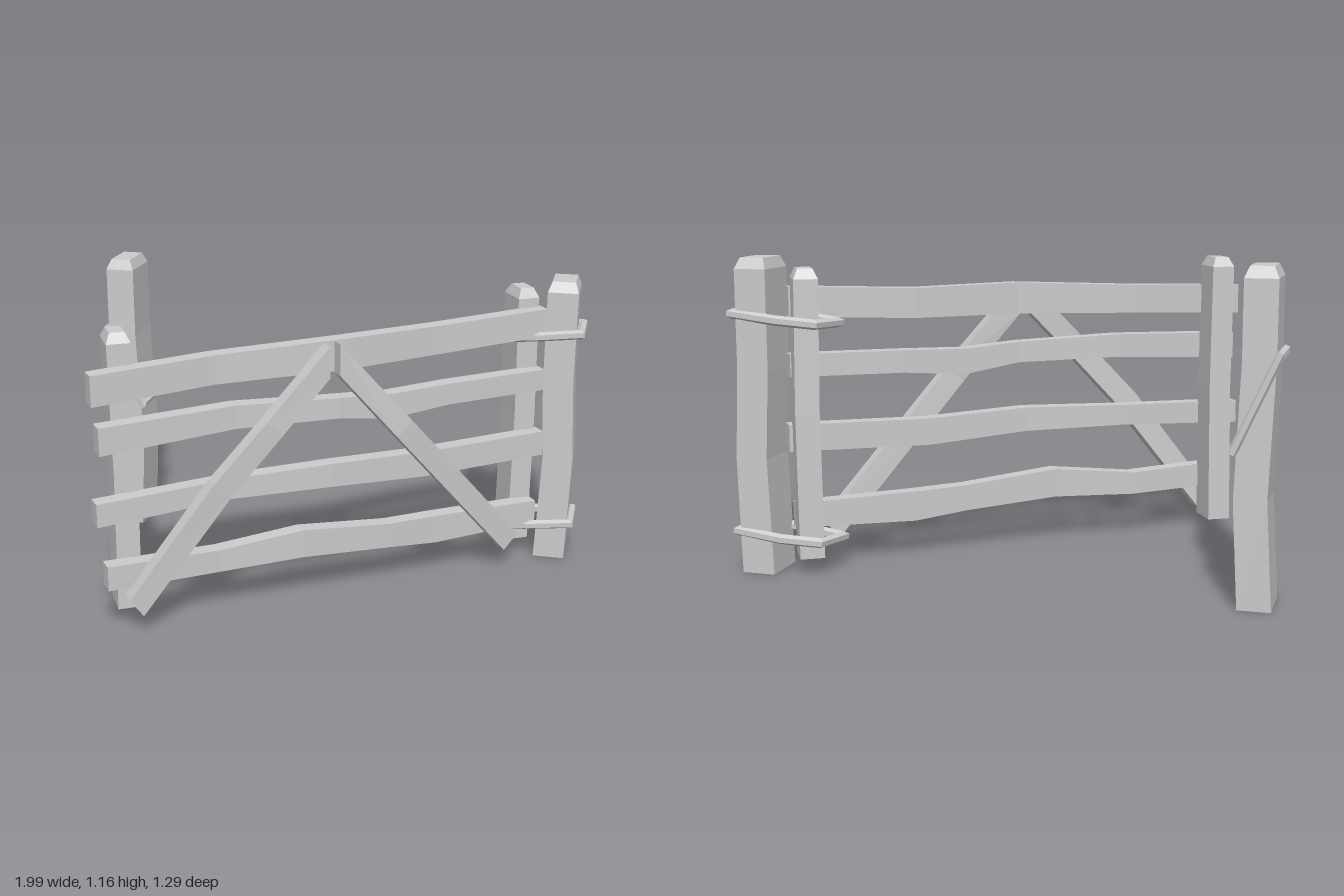
import * as THREE from 'three';

const material = new THREE.MeshStandardMaterial({ color: 0xcccccc, flatShading: true });

// Skin a list of equal-sized rings (counter-clockwise about the travel direction)
function loft(name, rings, closed = false) {
  const pos = [];
  const tri = (...pts) => pts.forEach((p) => pos.push(p.x, p.y, p.z));
  const n = rings[0].length;
  const count = closed ? rings.length : rings.length - 1;
  for (let i = 0; i < count; i++) {
    const r0 = rings[i], r1 = rings[(i + 1) % rings.length];
    for (let j = 0; j < n; j++) {
      const k = (j + 1) % n;
      tri(r0[j], r0[k], r1[k]);
      tri(r0[j], r1[k], r1[j]);
    }
  }
  if (!closed) {
    const a = rings[0], b = rings[rings.length - 1];
    for (let j = 1; j < n - 1; j++) {
      tri(a[0], a[j + 1], a[j]);
      tri(b[0], b[j], b[j + 1]);
    }
  }
  const geometry = new THREE.BufferGeometry();
  geometry.setAttribute('position', new THREE.Float32BufferAttribute(pos, 3));
  geometry.computeVertexNormals();
  const mesh = new THREE.Mesh(geometry, material);
  mesh.name = name;
  return mesh;
}

// Upright post: sections are [y, centreX, centreZ, width, depth]
function post(name, sections) {
  return loft(name, sections.map(([y, x, z, w, d]) =>
    [[1, 1], [1, -1], [-1, -1], [-1, 1]].map(([a, b]) =>
      new THREE.Vector3(x + a * w / 2, y, z + b * d / 2))));
}

// Plank along x: sections are [topX, topY, bottomX, bottomY, centreZ]
function plank(name, sections, thickness) {
  const t = thickness / 2;
  return loft(name, sections.map(([tx, ty, bx, by, z]) => [
    new THREE.Vector3(tx, ty, z - t), new THREE.Vector3(tx, ty, z + t),
    new THREE.Vector3(bx, by, z + t), new THREE.Vector3(bx, by, z - t),
  ]));
}

// Closed flat rope loop with mitred corners
function rope(name, corners, radius, sides = 6) {
  const pts = corners.map((c) => new THREE.Vector3(...c));
  const n = pts.length;
  const normal = new THREE.Vector3();
  pts.forEach((p, i) => normal.add(p.clone().cross(pts[(i + 1) % n])));
  normal.normalize();
  return loft(name, pts.map((p, i) => {
    const before = p.clone().sub(pts[(i + n - 1) % n]).normalize();
    const after = pts[(i + 1) % n].clone().sub(p).normalize();
    const tangent = before.clone().add(after).normalize();
    const out = tangent.clone().cross(normal).divideScalar(Math.max(0.5, tangent.dot(after)));
    return Array.from({ length: sides }, (_, j) => {
      const a = (j / sides) * Math.PI * 2;
      return p.clone().addScaledVector(normal, radius * Math.cos(a))
        .addScaledVector(out, radius * Math.sin(a));
    });
  }), true);
}

export function createModel() {
  const model = new THREE.Group();
  model.name = 'openFarmGate';

  // Fixed posts, slightly crooked, with bevelled tops
  model.add(post('latchPost', [
    [0, -0.913, -0.515, 0.117, 0.19],
    [0.38, -0.892, -0.515, 0.115, 0.19],
    [0.85, -0.912, -0.515, 0.115, 0.19],
    [1.125, -0.912, -0.515, 0.115, 0.185],
    [1.165, -0.912, -0.515, 0.08, 0.15],
  ]));
  model.add(post('hingePost', [
    [0, 0.902, -0.545, 0.125, 0.18],
    [0.43, 0.917, -0.545, 0.12, 0.18],
    [0.75, 0.902, -0.545, 0.12, 0.18],
    [1.12, 0.902, -0.545, 0.12, 0.18],
    [1.16, 0.902, -0.545, 0.09, 0.14],
  ]));

  // Rope loops
  for (const [name, y] of [['upperHingeRope', 0.92], ['lowerHingeRope', 0.118]]) {
    const outline = [[0.637, -0.47], [0.67, -0.6], [0.81, -0.638],
      [0.978, -0.628], [0.978, -0.455], [0.81, -0.45]];
    model.add(rope(name, outline.map(([x, z]) => [x, y + 0.11 * (x - 0.63), z]), 0.019));
  }
  model.add(rope('latchRope', [
    [-0.977, 0.87, -0.425], [-0.833, 0.55, -0.425],
    [-0.833, 0.55, -0.607], [-0.977, 0.87, -0.607],
  ], 0.017));

  // Swinging gate, built along its own x axis and turned open
  const gate = new THREE.Group();
  gate.name = 'gate';
  gate.position.set(0.08, 0, 0.06);
  gate.rotation.y = 0.64;
  model.add(gate);

  for (const [name, x, z] of [['gateEndPost', -0.786, -0.1], ['gateHingePost', 0.884, -0.09]]) {
    const upright = post(name, [
      [0.06, 0, 0, 0.09, 0.132],
      [0.6, 0.006, 0, 0.088, 0.132],
      [1.085, 0, 0, 0.088, 0.132],
      [1.122, 0, 0, 0.055, 0.09],
    ]);
    upright.position.set(x, 0, z);
    upright.rotation.y = -0.11;
    gate.add(upright);
  }

  // Rails: [x, top, bottom, z]
  const rails = [
    [[-0.92, 1.0, 0.885, 0], [-0.45, 1.015, 0.905, -0.025], [0.03, 1.035, 0.915, 0.028],
      [0.45, 1.03, 0.918, -0.01], [0.93, 1.05, 0.94, 0]],
    [[-0.9, 0.805, 0.7, 0], [-0.38, 0.82, 0.73, -0.01], [0.03, 0.805, 0.725, 0.02],
      [0.25, 0.79, 0.692, 0.01], [0.5, 0.797, 0.712, 0], [0.93, 0.802, 0.718, 0]],
    [[-0.92, 0.52, 0.43, 0], [-0.4, 0.535, 0.455, -0.015], [0, 0.545, 0.452, 0.015],
      [0.4, 0.53, 0.428, 0], [0.94, 0.54, 0.44, 0]],
    [[-0.89, 0.27, 0.175, 0], [-0.45, 0.255, 0.167, -0.015], [-0.12, 0.29, 0.178, 0.01],
      [0.25, 0.255, 0.155, 0.01], [0.46, 0.25, 0.135, 0], [0.92, 0.242, 0.15, 0]],
  ];
  rails.forEach((rail, i) => gate.add(plank(`rail${i + 1}`,
    rail.map(([x, top, bottom, z]) => [x, top, x, bottom, z]), 0.064)));

  // Diagonal braces meeting at the top rail
  gate.add(plank('endBrace', [
    [-0.825, 0.145, -0.775, 0.073, 0.05],
    [-0.505, 0.56, -0.435, 0.505, 0.085],
    [-0.3, 0.775, -0.235, 0.72, 0.1],
    [-0.045, 1.03, -0.045, 0.91, 0.09],
  ], 0.06));
  gate.add(plank('hingeBrace', [
    [0, 1.03, 0, 0.91, 0.08],
    [0.29, 0.705, 0.225, 0.65, 0.11],
    [0.8, 0.145, 0.74, 0.08, 0.07],
  ], 0.06));

  return model;
}
